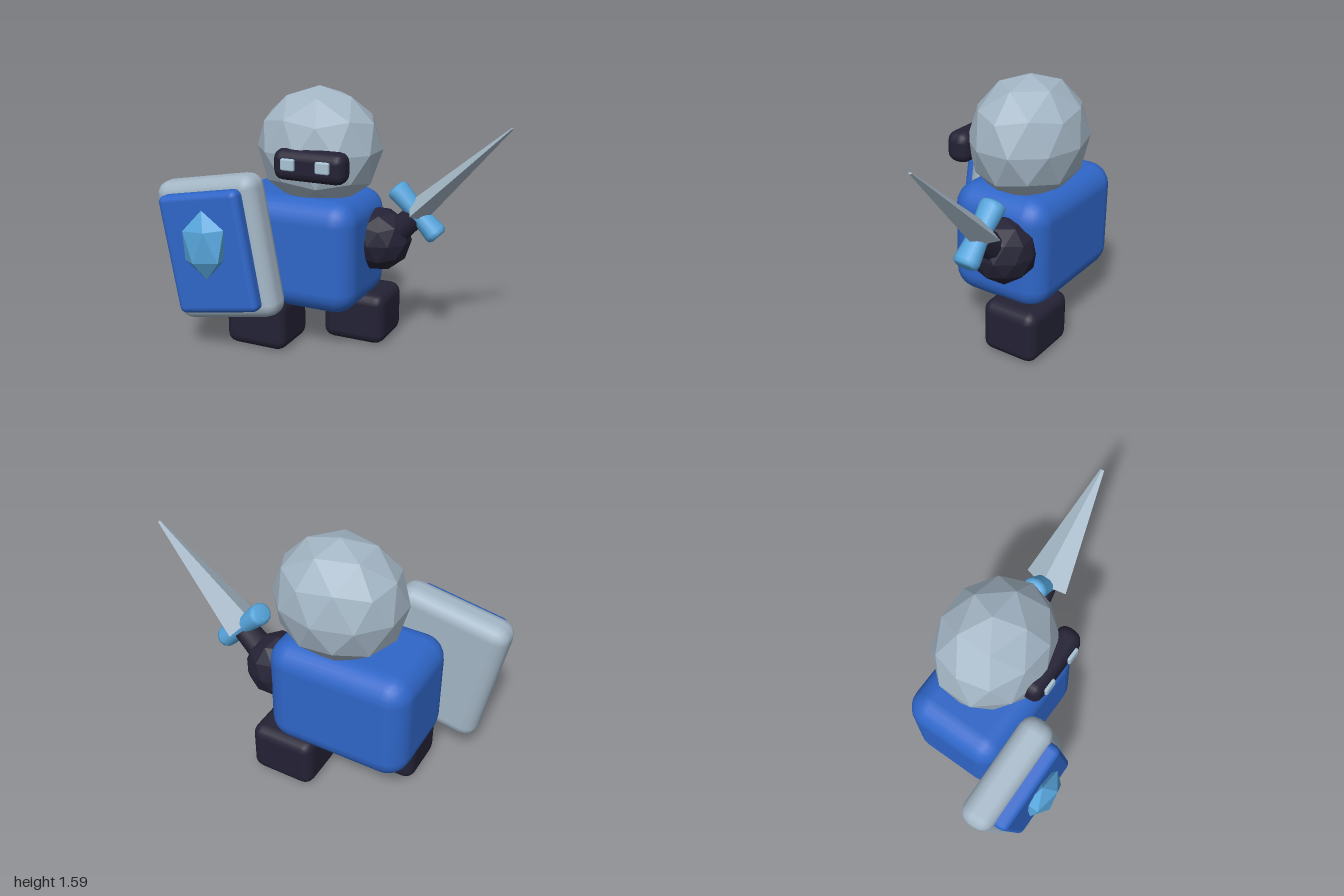
import * as THREE from 'three';
import { RoundedBoxGeometry } from 'three/addons/geometries/RoundedBoxGeometry.js';

const material = (name, color, flatShading = false) => {
  const m = new THREE.MeshStandardMaterial({ color, flatShading });
  m.name = name;
  return m;
};

export function createModel() {
  const group = new THREE.Group();
  const steel = material('steel', 0xa3b5c4);
  const blue = material('royal blue', 0x2f66c8);
  const dark = material('dark navy', 0x242235);
  const sky = material('sky blue', 0x57a5dc);
  const pale = material('pale eyes', 0xaac4d6);

  const add = (parent, name, geometry, mat, x, y, z) => {
    const mesh = new THREE.Mesh(geometry, mat);
    mesh.name = name;
    mesh.position.set(x, y, z);
    parent.add(mesh);
    return mesh;
  };
  const box = (w, h, d, r, seg = 2) => new RoundedBoxGeometry(w, h, d, seg, r);
  // Faceted ball with a corner pointing up and one ring corner toward +x;
  // polyhedra of detail 0 are flat already, others get unshared flat normals
  const ball = (rx, ry, rz, detail, tilt = 0) => {
    const g = new THREE.IcosahedronGeometry(1, detail);
    g.rotateZ(-Math.atan(2 / (1 + Math.sqrt(5))) + tilt);
    g.scale(rx, ry, rz);
    g.computeVertexNormals();
    return g;
  };

  // Torso and staggered feet
  add(group, 'body', box(0.88, 0.69, 0.635, 0.14, 3), blue, -0.25, 0.615, -0.16);
  add(group, 'leftFoot', box(0.405, 0.325, 0.357, 0.065), dark, 0.078, 0.165, -0.326);
  add(group, 'rightFoot', box(0.405, 0.325, 0.357, 0.065), dark, -0.428, 0.165, 0.014);

  // Helmet, visor and eyes
  add(group, 'helmet', ball(0.389, 0.37, 0.335, 1), steel, -0.15, 1.22, -0.18);
  add(group, 'visor', box(0.45, 0.185, 0.15, 0.06), dark, -0.061, 1.173, 0.116);
  for (const [name, x] of [['rightEye', -0.174], ['leftEye', 0.044]]) {
    add(group, name, box(0.088, 0.07, 0.03, 0.01, 1), pale, x, 1.184, 0.192);
  }

  // Arm
  add(group, 'arm', ball(0.2, 0.197, 0.193, 1), dark, 0.21, 0.67, -0.26);

  // Sword: local y runs along the blade, the origin is the guard
  const sword = new THREE.Group();
  sword.name = 'sword';
  sword.position.set(0.447, 0.866, -0.263);
  sword.rotation.z = -Math.PI / 4;
  group.add(sword);
  add(sword, 'grip', new THREE.CylinderGeometry(0.072, 0.085, 0.24, 10), dark, 0.01, -0.14, 0);

  const guardProfile = [
    [0, -0.195], [0.05, -0.195], [0.068, -0.183], [0.073, -0.16], [0.062, -0.05],
    [0.062, 0.05], [0.073, 0.16], [0.068, 0.183], [0.05, 0.195], [0, 0.195],
  ].map(([r, y]) => new THREE.Vector2(r, y));
  const guard = new THREE.LatheGeometry(guardProfile, 12);
  guard.rotateZ(Math.PI / 2);
  guard.scale(1, 0.9, 1.06);
  add(sword, 'guard', guard, sky, 0, 0, 0);

  // Flattened four-sided blade
  const blade = new THREE.CylinderGeometry(0.012, 0.14, 0.76, 4).toNonIndexed();
  blade.scale(0.52, 1, 1);
  blade.computeVertexNormals();
  add(sword, 'blade', blade, steel, 0, 0.385, 0);

  // Shield, leaning toward the body
  const shield = new THREE.Group();
  shield.name = 'shield';
  shield.position.set(-0.595, 0.656, 0.258);
  shield.rotation.z = 0.177;
  group.add(shield);
  add(shield, 'shieldRim', box(0.69, 0.865, 0.205, 0.085), steel, 0, 0, 0);
  add(shield, 'shieldPanel', box(0.545, 0.726, 0.14, 0.04), blue, 0, 0, 0.103);
  add(group, 'shieldGem', ball(0.155, 0.208, 0.082, 0, 0.07), sky, -0.588, 0.722, 0.45);

  return group;
}
